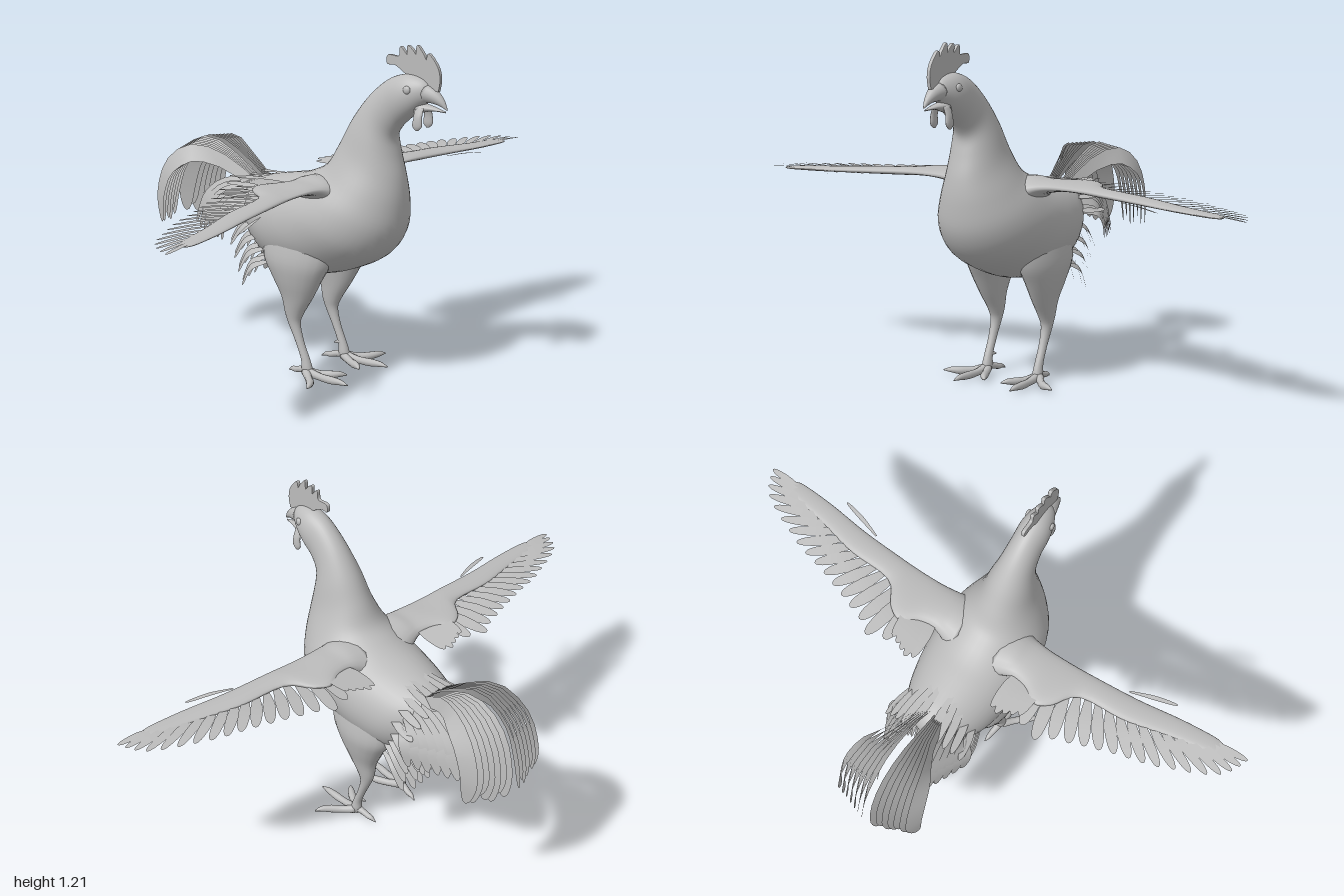
import * as THREE from 'three';
import { mergeGeometries } from 'three/addons/utils/BufferGeometryUtils.js';

const V = (x, y, z) => new THREE.Vector3(x, y, z);
const plumage = new THREE.MeshStandardMaterial({ color: 0xbcbcbc, side: THREE.DoubleSide });
plumage.name = 'plain grey';

// Smooth closed skin through oval rings; each ring is [edge a, opposite edge b, half-width vector]
function loft(rings, steps = 4, seg = 24) {
  const curves = [0, 1, 2].map(k => new THREE.CatmullRomCurve3(rings.map(r => r[k]), false, 'catmullrom', 0.5));
  const rows = (rings.length - 1) * steps, pos = [], idx = [];
  let first, last;
  for (let i = 0; i <= rows; i++) {
    const [a, b, w] = curves.map(c => c.getPoint(i / rows));
    const mid = a.clone().add(b).multiplyScalar(0.5), half = a.clone().sub(b).multiplyScalar(0.5);
    if (i === 0) first = mid;
    last = mid;
    for (let j = 0; j < seg; j++) {
      const t = j / seg * Math.PI * 2;
      pos.push(...mid.clone().addScaledVector(half, Math.cos(t)).addScaledVector(w, Math.sin(t)).toArray());
      const p = i * seg + j, q = i * seg + (j + 1) % seg;
      if (i < rows) idx.push(p, p + seg, q, q, p + seg, q + seg);
    }
  }
  pos.push(...first.toArray(), ...last.toArray());
  const c0 = (rows + 1) * seg;
  for (let j = 0; j < seg; j++) {
    const k = (j + 1) % seg;
    idx.push(c0, j, k, c0 + 1, rows * seg + k, rows * seg + j);
  }
  // Turn the faces outward if the enclosed volume is negative
  const at = i => V(pos[i * 3], pos[i * 3 + 1], pos[i * 3 + 2]);
  let volume = 0;
  for (let i = 0; i < idx.length; i += 3) volume += at(idx[i]).dot(at(idx[i + 1]).cross(at(idx[i + 2])));
  if (volume < 0) idx.reverse();
  return finish(pos, idx);
}

function finish(pos, idx) {
  const g = new THREE.BufferGeometry();
  g.setAttribute('position', new THREE.Float32BufferAttribute(pos, 3));
  g.setIndex(idx);
  g.computeVertexNormals();
  return g;
}

// Thin round-tipped blade along a curve; its flat side faces ref, rolled by tilt
function feather(points, halfWidth, ref, tilt = 0, rows = 14) {
  const curve = new THREE.CatmullRomCurve3(points), pos = [], idx = [];
  for (let i = 0; i <= rows; i++) {
    const t = 1 - Math.pow(1 - i / rows, 1.6), p = curve.getPoint(t), T = curve.getTangent(t);
    const across = T.clone().cross(ref).normalize();
    const flat = across.clone().cross(T).normalize();
    const w = halfWidth * Math.min(1, 0.4 + 1.2 * t) * Math.sqrt(Math.max(0, 1 - t ** 6));
    across.multiplyScalar(Math.cos(tilt)).addScaledVector(flat, Math.sin(tilt)).multiplyScalar(w);
    pos.push(...p.clone().sub(across).toArray(), ...p.clone().add(across).toArray());
    const k = i * 2;
    if (i < rows) idx.push(k, k + 1, k + 2, k + 1, k + 3, k + 2);
  }
  return finish(pos, idx);
}

const lerp = THREE.MathUtils.lerp;

export function createModel() {
  const model = new THREE.Group();
  model.name = 'rooster';
  const add = (name, geometry) => {
    const m = new THREE.Mesh(geometry, plumage);
    m.name = name;
    model.add(m);
    return m;
  };
  // Rings in the centre plane: back z,y / front z,y / half width
  const centreRings = rows => rows.map(([z1, y1, z2, y2, w]) => [V(0, y1, z1), V(0, y2, z2), V(w, 0, 0)]);

  // Head, neck and body in one skin
  add('body', loft(centreRings([
    [0.55, 1.07, 0.54, 1.035, 0.015], [0.52, 1.1, 0.505, 1.005, 0.036], [0.475, 1.113, 0.48, 0.98, 0.05],
    [0.43, 1.11, 0.45, 0.955, 0.056], [0.37, 1.085, 0.42, 0.925, 0.056], [0.3, 1.025, 0.4, 0.885, 0.063],
    [0.235, 0.94, 0.41, 0.83, 0.08], [0.185, 0.85, 0.43, 0.75, 0.1], [0.14, 0.775, 0.437, 0.66, 0.135],
    [0.08, 0.738, 0.425, 0.56, 0.17], [0.02, 0.715, 0.37, 0.475, 0.187], [-0.05, 0.7, 0.27, 0.415, 0.187],
    [-0.11, 0.687, 0.14, 0.37, 0.178], [-0.17, 0.672, 0, 0.36, 0.155], [-0.215, 0.65, -0.11, 0.395, 0.115],
    [-0.235, 0.61, -0.18, 0.46, 0.06], [-0.235, 0.55, -0.225, 0.53, 0.01]
  ]), 5, 40));

  // Beak
  add('upperBeak', loft(centreRings([
    [0.53, 1.09, 0.51, 1.025, 0.032], [0.565, 1.07, 0.55, 1.026, 0.022], [0.592, 1.042, 0.58, 1.02, 0.012],
    [0.608, 1.01, 0.603, 1.01, 0.002]
  ]), 4, 16));
  add('lowerBeak', loft(centreRings([
    [0.5, 1.025, 0.495, 0.985, 0.03], [0.55, 1.016, 0.547, 1, 0.016], [0.6, 1.005, 0.6, 1, 0.002]
  ]), 4, 16));

  // Comb with rounded points
  const comb = new THREE.Shape();
  comb.moveTo(0.572, 1.07);
  comb.splineThru([[0.578, 1.11], [0.567, 1.15], [0.533, 1.188], [0.524, 1.167], [0.512, 1.185], [0.487, 1.211],
    [0.483, 1.18], [0.468, 1.195], [0.448, 1.206], [0.447, 1.176], [0.42, 1.2], [0.413, 1.168], [0.37, 1.167],
    [0.368, 1.14], [0.4, 1.138], [0.44, 1.115], [0.47, 1.09], [0.52, 1.07]].map(p => new THREE.Vector2(...p)));
  const combGeo = new THREE.ExtrudeGeometry(comb, {
    depth: 0.008, bevelEnabled: true, bevelSize: 0.002, bevelThickness: 0.003, bevelSegments: 2, curveSegments: 60
  });
  combGeo.rotateY(-Math.PI / 2).translate(0.004, 0, 0);
  add('comb', combGeo);

  for (const s of [1, -1]) {
    const side = s > 0 ? 'left' : 'right';
    const P = (x, y, z) => V(s * x, y, z);
    const addMany = (name, list) => add(side + name, mergeGeometries(list));
    const rod = (pts, radii, flat = 1) => loft(pts.map(([x, y, z], i) => {
      // Rings upright to the run of the rod, in plan view
      const n = pts[Math.min(i + 1, pts.length - 1)], o = pts[Math.max(i - 1, 0)];
      const dir = V(n[0] - o[0], 0, n[2] - o[2]).normalize(), r = radii[i];
      return [P(x, y + r * flat, z), P(x, y - r * flat, z), P(dir.z * r, 0, -dir.x * r)];
    }), 4, 10);

    // Eye and wattle
    const eye = add(side + 'Eye', new THREE.SphereGeometry(0.014, 16, 12));
    eye.scale.x = 0.6;
    eye.position.copy(P(0.046, 1.068, 0.475));
    const wattle = add(side + 'Wattle', loft([
      [P(0.02, 1.01, 0.525), P(0.02, 1.01, 0.485), V(0.006, 0, 0)],
      [P(0.03, 0.98, 0.525), P(0.03, 0.98, 0.492), V(0.008, 0, 0)],
      [P(0.032, 0.95, 0.526), P(0.032, 0.95, 0.488), V(0.008, 0, 0)],
      [P(0.032, 0.934, 0.512), P(0.032, 0.934, 0.5), V(0.003, 0, 0)]], 4, 12));
    wattle.position.z = 0.002;

    // Thigh running down into the shank: y, front z, back z, centre x, half width
    add(side + 'Leg', loft([
      [0.52, 0.22, -0.08, 0.1, 0.065], [0.43, 0.205, -0.075, 0.11, 0.068], [0.36, 0.168, -0.035, 0.113, 0.055],
      [0.29, 0.128, 0.002, 0.11, 0.038], [0.23, 0.09, 0.015, 0.108, 0.026], [0.19, 0.077, 0.03, 0.108, 0.019],
      [0.13, 0.092, 0.06, 0.108, 0.015], [0.07, 0.118, 0.085, 0.108, 0.015], [0.035, 0.13, 0.088, 0.108, 0.018],
      [0.012, 0.13, 0.095, 0.108, 0.014]
    ].map(([y, zf, zb, x, w]) => [P(x, y, zf), P(x, y, zb), V(w, 0, 0)]), 4, 20));

    // Toes with claws, and a spur
    const r = [0.016, 0.013, 0.014, 0.01, 0.002];
    addMany('Foot', [
      rod([[0.11, 0.025, 0.11], [0.112, 0.018, 0.17], [0.115, 0.018, 0.22], [0.117, 0.02, 0.262], [0.118, 0.017, 0.295]], r),
      rod([[0.115, 0.024, 0.11], [0.145, 0.017, 0.145], [0.175, 0.017, 0.175], [0.205, 0.02, 0.195], [0.23, 0.018, 0.205]], r),
      rod([[0.105, 0.024, 0.11], [0.085, 0.017, 0.15], [0.067, 0.017, 0.185], [0.05, 0.02, 0.212], [0.035, 0.017, 0.23]], r),
      rod([[0.108, 0.03, 0.11], [0.104, 0.025, 0.08], [0.1, 0.018, 0.055], [0.098, 0.016, 0.035], [0.095, 0.007, 0.018]],
        [0.015, 0.012, 0.011, 0.008, 0.002]),
      rod([[0.103, 0.075, 0.1], [0.097, 0.073, 0.085], [0.092, 0.07, 0.075]], [0.009, 0.006, 0.001])
    ]);

    // Wing arm: x, leading z, trailing z, y, half thickness
    add(side + 'Wing', loft([
      [0.07, 0.27, 0.04, 0.66, 0.08], [0.125, 0.245, 0.06, 0.69, 0.053], [0.17, 0.23, 0.07, 0.708, 0.028],
      [0.22, 0.222, 0.06, 0.715, 0.02], [0.28, 0.22, 0.025, 0.717, 0.016], [0.335, 0.221, 0.055, 0.717, 0.015],
      [0.4, 0.225, 0.132, 0.715, 0.014], [0.57, 0.24, 0.15, 0.706, 0.012], [0.73, 0.264, 0.19, 0.699, 0.009],
      [0.86, 0.275, 0.215, 0.694, 0.006], [0.9, 0.268, 0.235, 0.692, 0.003]
    ].map(([x, zl, zt, y, t]) => [P(x, y, zl), P(x, y, zt), V(0, t, 0)]), 4, 20));

    // Flight feathers fanning from the arm, then inner coverts and a small leading feather
    const tips = [[0.285, -0.06], [0.35, -0.08], [0.4, -0.045], [0.455, -0.025], [0.505, -0.005], [0.555, 0.012],
      [0.605, 0.03], [0.655, 0.045], [0.705, 0.058], [0.755, 0.075], [0.805, 0.098], [0.855, 0.12], [0.905, 0.145],
      [0.945, 0.172], [0.97, 0.203], [0.985, 0.235], [0.995, 0.265]];
    const up = V(0, 1, 0);
    const wingFeather = (x0, z0, x1, z1, y0, y1, w) => feather(
      [P(x0, y0, z0), P((x0 + x1) / 2 - 0.005, (y0 + y1) / 2 + 0.004, (z0 + z1) / 2), P(x1, y1, z1)], w, up, s * 0.12);
    const flight = tips.map(([x, z], i) => {
      const t = i / (tips.length - 1);
      return wingFeather(lerp(0.28, 0.84, t), lerp(0.13, 0.25, t), x, z,
        lerp(0.713, 0.694, t), lerp(0.706, 0.69, t), lerp(0.026, 0.013, t));
    });
    for (let i = 0; i < 5; i++) {
      const x = 0.165 + i * 0.024;
      flight.push(wingFeather(x + 0.02, 0.14, x, -0.075 + 0.012 * Math.abs(i - 1), 0.71 + i * 0.002, 0.708 + i * 0.003, 0.019));
    }
    flight.push(wingFeather(0.53, 0.25, 0.695, 0.303, 0.702, 0.694, 0.008));
    addMany('FlightFeathers', flight);

    // Long arching tail sickles, spreading outward and shortening
    const X = V(1, 0, 0), sickles = [];
    for (let i = 0; i < 7; i++) {
      const f = i / 6, x = 0.03 + 0.125 * f, k = 1 - 0.09 * f;
      const z = d => -0.17 - d * k, y = h => 0.64 + h * k;
      sickles.push(feather([P(0.015 + 0.03 * f, 0.635, -0.16), P(lerp(0.02, x, 0.4), y(0.08), z(0.13)),
        P(lerp(0.02, x, 0.75), y(0.112), z(0.25)), P(x * 0.95, y(0.05), z(0.35)), P(x, y(-0.07), z(0.395)),
        P(x + 0.005, y(-0.175 + 0.02 * Math.sin(i * 2)), z(0.405 - 0.02 * f))], 0.037, X, s * 0.45));
    }
    addMany('TailSickles', sickles);

    // Shorter drooping side-tail feathers in two layers
    const coverts = [];
    for (let layer = 0; layer < 2; layer++) for (let i = 0; i < 6; i++) {
      const f = i / 5, x = 0.05 + 0.075 * f + layer * 0.02, reach = lerp(0.27, 0.1, f) - layer * 0.035;
      const top = 0.655 - 0.05 * f - layer * 0.03, drop = 0.19 - 0.05 * f - layer * 0.02;
      coverts.push(feather([P(x * 0.8, top, -0.13), P(x + 0.01, top - 0.01, -0.17 - reach * 0.4),
        P(x + 0.02, top - drop * 0.4, -0.17 - reach * 0.78), P(x + 0.015, top - drop, -0.17 - reach)], 0.021, X, s * 0.5));
    }
    addMany('TailCoverts', coverts);

    // Rump feathers hanging behind the thighs
    const rump = [];
    for (let row = 0; row < 4; row++) for (let i = 0; i < 4; i++) {
      const x = 0.03 + i * 0.033 - row * 0.003, y = 0.56 - row * 0.048 - i * 0.006, z = -0.115 + row * 0.01 + (i > 2 ? 0.025 : 0);
      rump.push(feather([P(x, y, z), P(x + 0.01, y - 0.03, z - 0.065), P(x + 0.008, y - 0.105, z - 0.125 + row * 0.005)],
        0.016, X, s * 0.7));
    }
    addMany('RumpFeathers', rump);

    // Saddle feathers lying along the lower back
    const saddle = [];
    for (let i = 0; i < 5; i++) {
      const x = 0.03 + i * 0.028, y = 0.688 - i * i * 0.0065;
      saddle.push(feather([P(x * 0.85, y, -0.08), P(x, y - 0.008, -0.17), P(x + 0.012, y - 0.014, -0.28 + 0.008 * i)],
        0.015, up, -s * 0.12 * i));
    }
    addMany('SaddleFeathers', saddle);
  }
  return model;
}
